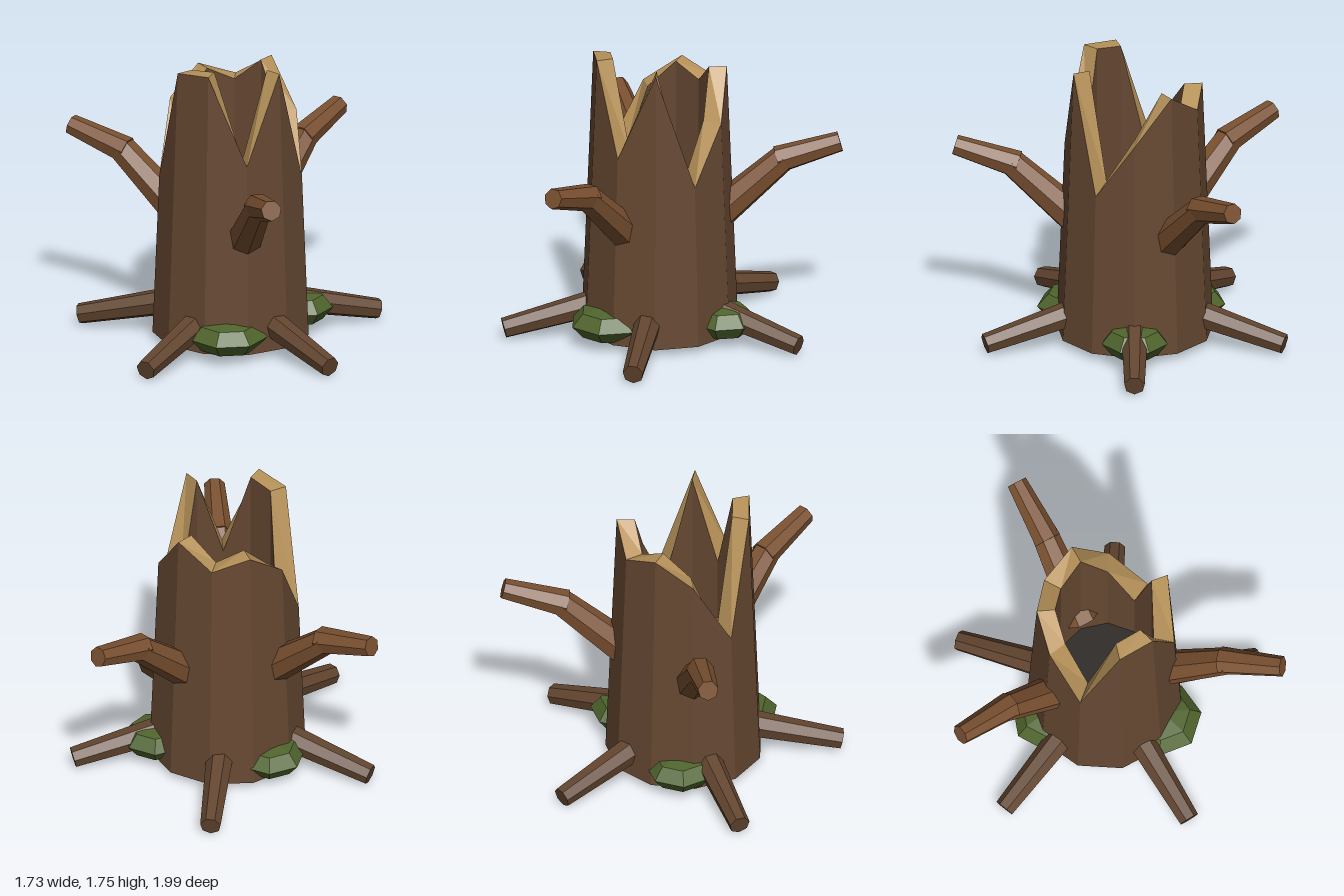
import * as THREE from 'three';

const mat = (color, side = THREE.FrontSide) =>
  new THREE.MeshStandardMaterial({ color, flatShading: true, side });
const BARK = mat(0x664832, THREE.DoubleSide);
const ROOT = mat(0x62452f);
const BRANCH = mat(0x7a5030);
const WOOD = mat(0xb8935a, THREE.DoubleSide);
const HOLLOW = mat(0x2a2420, THREE.DoubleSide);
const MOSS = mat(0x4f642c);

const SIDES = 11;
const STEP = (Math.PI * 2) / SIDES;
const BASE_Y = 0.05;
const FLOOR_Y = 0.5;
const INNER_R = 0.295;
// Height of the splintered rim at each corner, from +x towards +z
const RIM = [1.38, 1.04, 1.75, 1.21, 1.76, 1.74, 1.03, 1.44, 1.6, 1.52, 1.66];

const polar = (angle, r, y) =>
  new THREE.Vector3(Math.cos(angle) * r, y, Math.sin(angle) * r);
const outerRadius = (y) => 0.468 - 0.041 * (y - BASE_Y);

function add(parent, name, geometry, material) {
  const mesh = new THREE.Mesh(geometry, material);
  mesh.name = name;
  parent.add(mesh);
  return mesh;
}

// One strip around the trunk: corner(k) gives the lower and upper point at corner k
function ringStrip(corner) {
  const points = [];
  for (let k = 0; k < SIDES; k++) {
    const [a, d] = corner(k);
    const [b, c] = corner((k + 1) % SIDES);
    points.push(b, a, d, b, d, c);
  }
  const geometry = new THREE.BufferGeometry().setFromPoints(points);
  geometry.computeVertexNormals();
  return geometry;
}

// Tapered limb between two points
function limb(parent, name, from, to, r0, r1, material) {
  const dir = to.clone().sub(from);
  const mesh = add(parent, name, new THREE.CylinderGeometry(r1, r0, dir.length(), 7), material);
  mesh.position.copy(from).add(to).multiplyScalar(0.5);
  // Turn about the trunk axis first, then lean outwards
  mesh.rotation.order = 'YXZ';
  mesh.rotation.y = Math.atan2(dir.x, dir.z);
  mesh.rotation.x = Math.atan2(Math.hypot(dir.x, dir.z), dir.y);
  return mesh;
}

export function createModel() {
  const model = new THREE.Group();
  model.name = 'treeStump';

  const stump = new THREE.Group();
  stump.name = 'stump';
  stump.position.set(-0.08, 0, -0.09);
  model.add(stump);

  // Trunk: outer bark, splintered rim, hollow inside
  const outer = (k) => polar(k * STEP, outerRadius(RIM[k]), RIM[k]);
  const inner = (k) => polar(k * STEP, INNER_R, RIM[k]);
  add(stump, 'trunkBark',
    ringStrip((k) => [polar(k * STEP, outerRadius(BASE_Y), BASE_Y), outer(k)]), BARK);
  add(stump, 'brokenRim', ringStrip((k) => [outer(k), inner(k)]), WOOD);
  add(stump, 'hollowWall',
    ringStrip((k) => [inner(k), polar(k * STEP, INNER_R, FLOOR_Y)]), BARK);
  const floor = add(stump, 'hollowFloor', new THREE.CircleGeometry(INNER_R, SIDES), HOLLOW);
  floor.rotation.x = -Math.PI / 2;
  floor.position.y = FLOOR_Y;

  // Five roots spread evenly
  for (let i = 0; i < 5; i++) {
    const a = (i * Math.PI * 2) / 5;
    limb(stump, 'root', polar(a, 0.05, 0.275), polar(a, 0.93, 0.067), 0.095, 0.062, ROOT);
  }

  // Three bent branches
  for (const corner of [3, 7, 10]) {
    const a = corner * STEP;
    const branch = new THREE.Group();
    branch.name = 'branch';
    stump.add(branch);
    limb(branch, 'branchLower', polar(a, 0.29, 0.68), polar(a, 0.74, 1.07), 0.11, 0.082, BRANCH);
    limb(branch, 'branchUpper', polar(a, 0.7, 1.055), polar(a, 1.075, 1.16), 0.084, 0.062, BRANCH);
  }

  // Moss clumps at the foot: x, z, radius
  for (const [x, z, r] of [[-0.235, 0.26, 0.235], [0.35, -0.09, 0.2], [-0.27, -0.42, 0.21]]) {
    const clump = add(model, 'mossClump', new THREE.SphereGeometry(r, 7, 4), MOSS);
    clump.scale.y = 0.105 / r;
    clump.position.set(x, 0.145, z);
  }

  return model;
}
